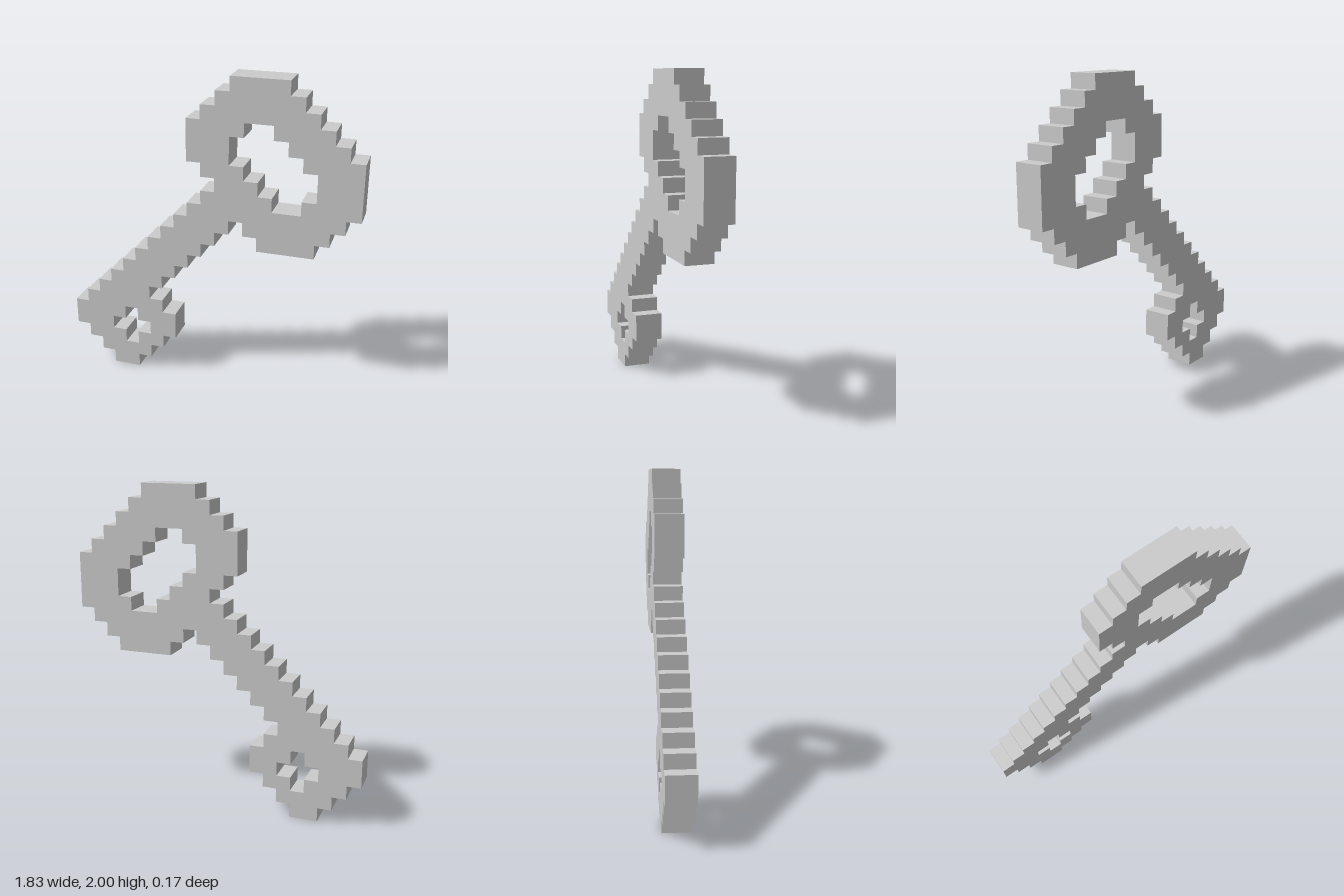
import * as THREE from 'three';

const CELL = 2 / 23; // the outline sits on a grid of 21 x 23 cells
const COLUMNS = 21;
const DEPTH = 2 * CELL;

// Stepped closed outline: starts at a corner, then each value moves to the
// next x, next y, next x and so on, in whole cells.
function steppedPoints(startX, startY, stops) {
  let x = startX, y = startY;
  const points = [[x, y]];
  stops.forEach((stop, i) => {
    if (i % 2 === 0) x = stop;
    else y = stop;
    points.push([x, y]);
  });
  return points.map(([px, py]) => new THREE.Vector2((px - COLUMNS / 2) * CELL, py * CELL));
}

// Outer edge, anticlockwise from the foot of the small ring
const outline = [
  5, 1, 6, 2, 7, 3, 8, 5, 7, 6, 6, 7,                        // small ring, right side
  7, 8, 8, 9, 9, 10, 10, 11, 11, 12, 12, 13,                 // shaft, lower edge
  13, 12, 14, 11, 18, 12, 19, 13, 20, 14, 21, 18,            // large ring, right side
  20, 19, 19, 20, 18, 21, 17, 22, 16, 23,
  12, 22, 11, 21, 10, 20, 9, 17, 10, 16, 11, 15,             // large ring, left side
  10, 14, 9, 13, 8, 12, 7, 11, 6, 10, 5, 9, 4, 8, 3, 7, 2, 6, // shaft, upper edge
  1, 5, 0, 3, 1, 2, 2, 1, 3,                                 // small ring, left side
];

// Openings of the two rings
const largeOpening = [17, 15, 18, 17, 17, 18, 16, 19, 15, 20, 13, 19, 12, 17, 13, 16, 14, 15, 15];
const smallOpening = [5, 3, 6, 4, 5, 5, 4, 4, 3, 3, 4];

export function createModel() {
  const group = new THREE.Group();
  group.name = 'blockyKey';

  const shape = new THREE.Shape(steppedPoints(3, 0, outline));
  shape.holes.push(
    new THREE.Path(steppedPoints(15, 14, largeOpening)),
    new THREE.Path(steppedPoints(4, 2, smallOpening)),
  );

  // Flat slab, two cells thick
  const geometry = new THREE.ExtrudeGeometry(shape, { depth: DEPTH, bevelEnabled: false });
  geometry.translate(0, 0, -DEPTH / 2);

  const body = new THREE.Mesh(
    geometry,
    new THREE.MeshStandardMaterial({ color: 0xcccccc, flatShading: true }),
  );
  body.name = 'ringsAndShaft';
  group.add(body);
  return group;
}
